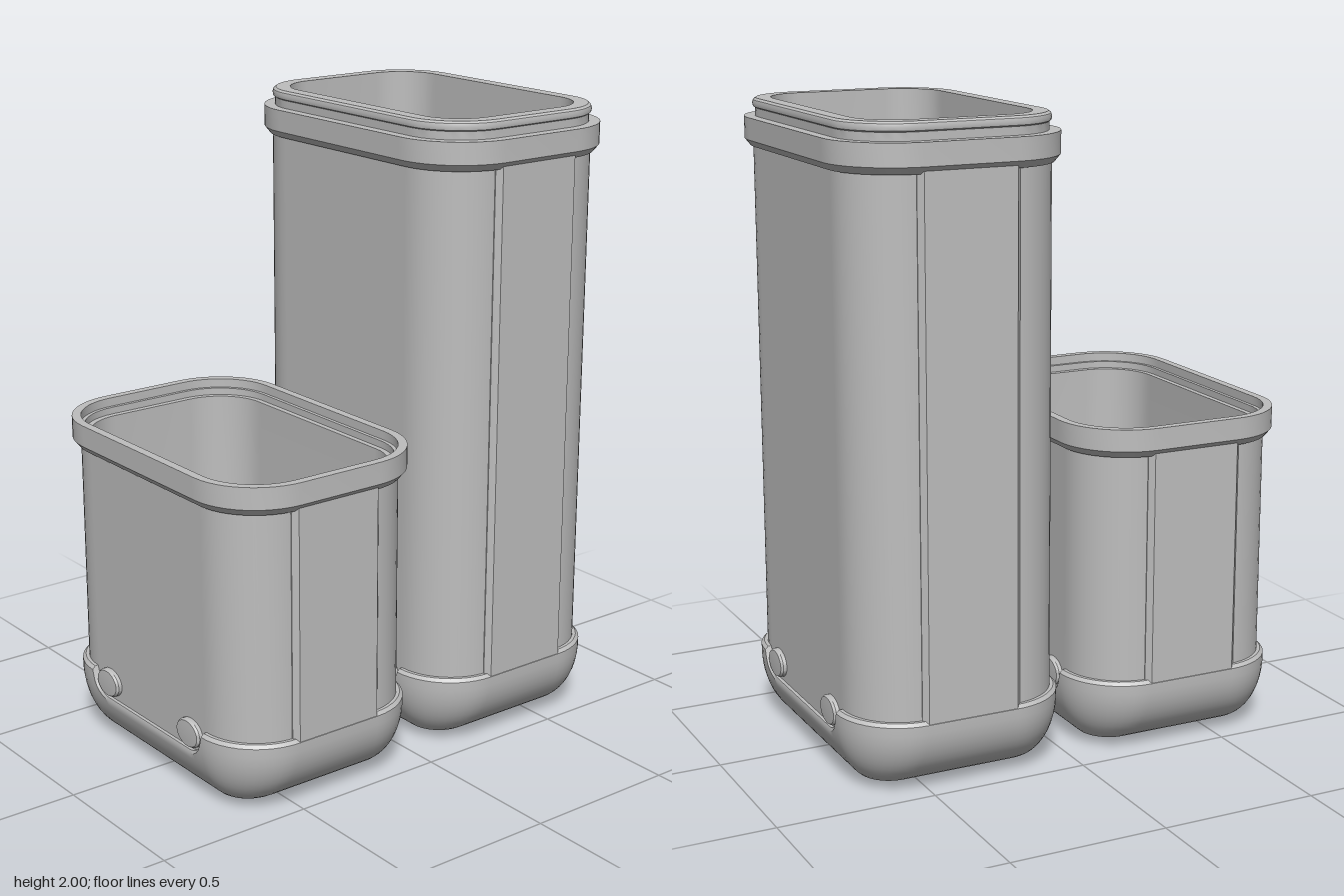
import * as THREE from 'three';
import { toCreasedNormals } from 'three/addons/utils/BufferGeometryUtils.js';

const HX = 0.525, HZ = 0.3625, R = 0.22; // outer rim half sizes and corner radius

// Outline template: each entry holds the corner-centre factors and the outward direction
const outline = [];
const corners = [[1, 1], [-1, 1], [-1, -1], [1, -1]];
corners.forEach(([sx, sz], c) => {
  for (let i = 0; i <= 12; i++) {
    const a = (c + i / 12) * Math.PI / 2;
    outline.push([sx, sz, Math.cos(a), Math.sin(a)]);
  }
  if (c % 2 === 0) {
    for (let i = 1; i < 60; i++) outline.push([sx * (1 - i / 30), sz, 0, sz]);
  }
});

// Point on the rounded rectangle, inset by ix and iz from the rim
function ringPoint([sx, sz, dx, dz], [y, ix, iz = ix, s = 1]) {
  const r = Math.max(0.1, R - ix);
  return [s * (sx * (HX - ix - r) + r * dx), y, s * (sz * (HZ - iz - r) + r * dz)];
}

// Skin over rows of [y, insetX, insetZ, scale]; a row may be a function of the outline entry
function loft(rows) {
  const pos = [], idx = [], n = outline.length;
  for (const row of rows) {
    for (const o of outline) pos.push(...ringPoint(o, typeof row === 'function' ? row(o) : row));
  }
  for (let k = 0; k < rows.length - 1; k++) {
    for (let j = 0; j < n; j++) {
      const a = k * n + j, b = k * n + (j + 1) % n, c = b + n, d = a + n;
      idx.push(a, d, c, a, c, b);
    }
  }
  const g = new THREE.BufferGeometry();
  g.setAttribute('position', new THREE.Float32BufferAttribute(pos, 3));
  g.setIndex(idx);
  return toCreasedNormals(g, 0.6);
}

// Top edge of the base: dips around the buttons on the long sides
function baseTop(o) {
  const x = Math.abs(ringPoint(o, [0, 0.01, 0.005])[0]);
  if (x >= 0.3) return 0.232;
  if (x <= 0.225) return 0.15;
  return 0.225 - Math.sqrt(0.075 ** 2 - (x - 0.225) ** 2);
}

// Rounded base profile: insets at height y
function baseRow(y) {
  const t = Math.max(0, 1 - y / 0.215);
  const e = 1 - Math.sqrt(1 - t * t);
  return [y, 0.01 + 0.21 * e, 0.005 + 0.14 * e];
}

function baseGeometry() {
  const rows = [[0, 0.22, 0.145, 0]];
  for (let i = 0; i <= 14; i++) {
    const f = (i / 14) ** 1.8;
    rows.push(o => baseRow(f * baseTop(o)));
  }
  rows.push(o => [baseTop(o) + 0.01, 0.02, 0.015], o => [baseTop(o) + 0.01, 0.04, 0.035]);
  return loft(rows);
}

// Inner wall running down into a rounded floor
function interiorRows(top, ix, iz) {
  const rows = [[top, ix, iz], [0.24, ix, iz]];
  for (let i = 1; i <= 10; i++) {
    const a = i / 10 * Math.PI / 2, e = 1 - Math.cos(a);
    rows.push([0.24 - 0.2 * Math.sin(a), ix + 0.14 * e, iz + 0.1 * e]);
  }
  rows.push([0.04, ix + 0.14, iz + 0.1, 0]);
  return rows;
}

// Raised panel with bevelled long edges, for the +x side
function panelGeometry(y0, y1) {
  const s = new THREE.Shape([
    new THREE.Vector2(0.48, -0.16), new THREE.Vector2(0.497, -0.16), new THREE.Vector2(0.514, -0.145),
    new THREE.Vector2(0.514, 0.145), new THREE.Vector2(0.497, 0.16), new THREE.Vector2(0.48, 0.16),
  ]);
  const g = new THREE.ExtrudeGeometry(s, { depth: y1 - y0, bevelEnabled: false });
  return g.rotateX(-Math.PI / 2).translate(0, y0, 0);
}

function container(name, rimTop, rimRows, ix, iz, mat) {
  const group = new THREE.Group();
  group.name = name;
  const add = (part, geometry) => {
    const m = new THREE.Mesh(geometry, mat);
    m.name = part;
    group.add(m);
    return m;
  };
  const under = rimTop - 0.09;
  add('base', baseGeometry());
  add('body', loft([[0.13, 0.03, 0.026], [under + 0.01, 0.03, 0.026]]));
  // Rim band with chamfered underside, followed by its lip or socket
  add('rim', loft([[under, 0.032], [under, 0.018], [rimTop - 0.068, 0], [rimTop, 0], ...rimRows]));
  add('interior', loft(interiorRows(rimRows[rimRows.length - 1][0], ix, iz)));
  for (const side of [0, 1]) {
    add('sidePanel', panelGeometry(0.22, under + 0.015)).rotation.y = side * Math.PI;
    // Oval buttons in the notches of the base
    for (const x of [-0.225, 0.225]) {
      const profile = [[0.06, 0], [0.06, 0.026], [0.054, 0.033], [0, 0.036]];
      const g = new THREE.LatheGeometry(profile.map(p => new THREE.Vector2(...p)), 32);
      g.rotateX(Math.PI / 2).scale(1, 0.75, 1);
      const pivot = new THREE.Group();
      pivot.name = 'buttonMount';
      pivot.rotation.y = side * Math.PI;
      const b = add('button', toCreasedNormals(g, 0.5));
      b.position.set(x, 0.213, 0.322);
      pivot.add(b);
      group.add(pivot);
    }
  }
  return group;
}

export function createModel() {
  const grey = new THREE.MeshStandardMaterial({ color: 0xbebebe });
  grey.name = 'plainGrey';
  const model = new THREE.Group();
  model.name = 'containerPair';

  // Tall container with a beaded plug lip
  const tall = container('tallContainer', 1.945, [
    [1.945, 0.036, 0.034], [1.97, 0.036, 0.034], [1.974, 0.03, 0.028], [1.984, 0.028, 0.026],
    [1.994, 0.031, 0.029], [2, 0.039, 0.037], [2, 0.085, 0.0825],
  ], 0.085, 0.0825, grey);
  tall.position.z = -0.377;

  // Short container with a stepped socket
  const short = container('shortContainer', 1.05, [
    [1.05, 0.028], [1.022, 0.028], [1.022, 0.04], [1, 0.04], [1, 0.06, 0.058],
  ], 0.06, 0.058, grey);
  short.position.z = 0.377;

  model.add(tall, short);
  return model;
}
